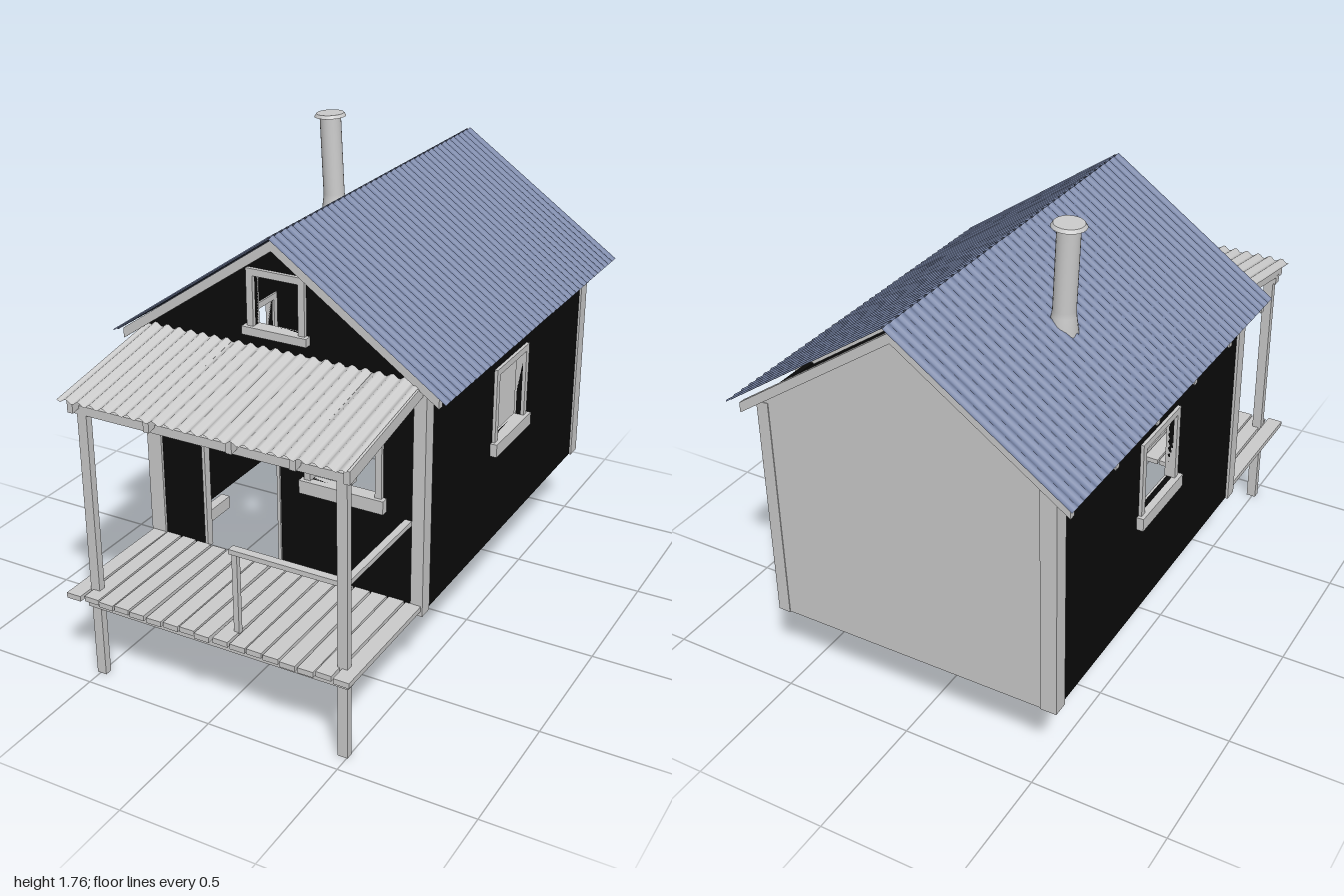
import * as THREE from 'three';

const grey = new THREE.MeshStandardMaterial({ color: 0xcccccc });
const greySheet = new THREE.MeshStandardMaterial({ color: 0xcccccc, side: THREE.DoubleSide });
const black = new THREE.MeshStandardMaterial({ color: 0x0a0a0a });
const blueSheet = new THREE.MeshStandardMaterial({ color: 0x7582a3, side: THREE.DoubleSide });

const CX = -0.013; // house centre line

function mesh(parent, name, geometry, material = grey) {
  const m = new THREE.Mesh(geometry, material);
  m.name = name;
  parent.add(m);
  return m;
}

// Box given by its extents
function box(parent, name, [x0, x1], [y0, y1], [z0, z1], material) {
  const m = mesh(parent, name, new THREE.BoxGeometry(x1 - x0, y1 - y0, z1 - z0), material);
  m.position.set((x0 + x1) / 2, (y0 + y1) / 2, (z0 + z1) / 2);
  return m;
}

const polygon = pts => new THREE.Shape(pts.map(p => new THREE.Vector2(...p)));
const rect = (a, b, c, d) => [[a, c], [b, c], [b, d], [a, d]];

function panel(points, holes, depth) {
  const shape = polygon(points);
  holes.forEach(h => shape.holes.push(polygon(h)));
  return new THREE.ExtrudeGeometry(shape, { depth, bevelEnabled: false });
}

// Corrugated sheet spanned by u (across the waves) and v (along them)
function corrugated(origin, u, v, waves, amp) {
  const g = new THREE.PlaneGeometry(1, 1, waves * 6, 1);
  const n = u.clone().cross(v).normalize();
  const p = g.attributes.position;
  for (let i = 0; i < p.count; i++) {
    const s = p.getX(i) + 0.5, t = p.getY(i) + 0.5;
    const q = origin.clone().addScaledVector(u, s).addScaledVector(v, t)
      .addScaledVector(n, amp * Math.sin(s * waves * Math.PI * 2));
    p.setXYZ(i, q.x, q.y, q.z);
  }
  g.computeVertexNormals();
  return g;
}

// Window frame with sill, built facing +z around the opening
function windowFrame(name, [x0, x1], [y0, y1], sillHeight) {
  const g = new THREE.Group();
  g.name = name;
  const f = 0.025;
  const frame = mesh(g, 'windowFrame',
    panel(rect(x0 - f, x1 + f, y0 - 0.005, y1 + f), [rect(x0, x1, y0, y1)], 0.04));
  frame.position.z = -0.028;
  box(g, 'windowSill', [x0 - f - 0.013, x1 + f + 0.013], [y0 - sillHeight, y0], [-0.028, 0.026]);
  return g;
}

function buildWalls(house) {
  const frontWin = [[0.112, 0.362], [0.72, 0.985]];
  const gableWin = [[-0.102, 0.072], [1.25, 1.43]];
  const sideWin = [[-0.345, -0.105], [0.72, 0.98]];
  const hole = ([a, b]) => rect(...a, ...b);
  const gable = [[0.535, 1.175], [CX, 1.545], [-0.56, 1.175]];

  // Front wall with the doorway as a notch in its lower edge
  const front = [[-0.56, 0.305], [-0.34, 0.305], [-0.34, 1.03], [-0.015, 1.03], [-0.015, 0.305],
    [0.535, 0.305], ...gable];
  mesh(house, 'frontWall', panel(front, [hole(frontWin), hole(gableWin)], 0.02), black).position.z = 0.455;
  mesh(house, 'backWall', panel([[-0.56, 0.305], [0.535, 0.305], ...gable], [], 0.02)).position.z = -0.96;

  const fw = windowFrame('frontWindow', ...frontWin, 0.05);
  const gw = windowFrame('gableWindow', ...gableWin, 0.03);
  fw.position.z = gw.position.z = 0.477;
  house.add(fw, gw);

  // Door frame
  for (const x of [-0.34, -0.027]) box(house, 'doorJamb', [x, x + 0.012], [0.33, 1.03], [0.45, 0.482]);
  box(house, 'doorHead', [-0.34, -0.015], [1.018, 1.03], [0.45, 0.482]);

  // Side walls and windows, turned to face outward
  for (const side of [-1, 1]) {
    const x = side > 0 ? 0.538 : -0.563;
    const g = new THREE.Group();
    g.name = side > 0 ? 'leftSide' : 'rightSide';
    const flip = (a, b) => side > 0 ? [-b, -a] : [a, b];
    const win = [flip(...sideWin[0]), sideWin[1]];
    mesh(g, 'sideWall', panel(rect(...flip(-0.95, 0.465), 0.305, 1.175), [hole(win)], 0.02), black).position.z = -0.02;
    g.add(windowFrame('sideWindow', ...win, 0.05));
    g.rotation.y = side * Math.PI / 2;
    g.position.x = x;
    house.add(g);
  }

  // Corner posts
  for (const xs of [[-0.573, -0.513], [0.5, 0.546]])
    for (const zs of [[0.43, 0.485], [-0.963, -0.905]])
      box(house, 'cornerPost', xs, [0.303, 1.165], zs);
}

function buildRoof(house) {
  const V = (x, y, z) => new THREE.Vector3(x, y, z);
  for (const s of [-1, 1])
    mesh(house, 'roofSheet', corrugated(V(0, 1.594, -1), V(0, 0, 1.55), V(s * 0.643, -0.444, 0), 40, 0.005), blueSheet);

  // Rafter pairs
  const h = 0.615, t = 0.038;
  const chevron = [[CX - h, 1.15 - t], [CX, 1.575 - t], [CX + h, 1.15 - t],
    [CX + h, 1.15], [CX, 1.575], [CX - h, 1.15]];
  for (let i = 0; i < 6; i++)
    mesh(house, 'rafterPair', panel(chevron, [], 0.024)).position.z = -0.982 + i * 0.294;

  // Stove pipe, leaning a little outward, with a flared foot and a cap
  const pipe = new THREE.Group();
  pipe.name = 'chimney';
  const profile = [[0.055, -0.1], [0.053, 0], [0.042, 0.07], [0.04, 0.09], [0.04, 0.385]];
  mesh(pipe, 'chimneyPipe',
    new THREE.LatheGeometry(profile.map(p => new THREE.Vector2(...p)), 24), greySheet);
  mesh(pipe, 'chimneyCap', new THREE.CylinderGeometry(0.052, 0.06, 0.012, 24)).position.y = 0.391;
  pipe.position.set(-0.278, 1.36, -0.388);
  pipe.rotation.z = 0.05;
  house.add(pipe);
}

function buildPorch(porch) {
  // Posts, legs and floor beams
  for (const x of [-0.513, 0.466]) {
    box(porch, 'porchLeg', [x, x + 0.037], [0, 0.28], [0.908, 0.936]);
    box(porch, 'porchPost', [x, x + 0.037], [0.32, 1.03], [0.908, 0.936]);
    box(porch, 'sideBeam', [x, x + 0.037], [0.275, 0.325], [0.11, 0.91]);
  }
  box(porch, 'frontBeam', [-0.525, 0.508], [0.275, 0.325], [0.905, 0.94]);

  // Uneven deck boards
  let seed = 7;
  const rnd = () => (seed = (seed * 16807) % 2147483647) / 2147483647 - 0.5;
  rnd();
  const pitch = 1.118 / 17;
  for (let i = 0; i < 17; i++) {
    const x = -0.573 + i * pitch, end = 0.99 + rnd() * 0.02;
    const b = box(porch, 'deckBoard', [x + 0.004, x + pitch - 0.004], [0.326, 0.346], [0.485, end]);
    b.rotation.set(rnd() * 0.02, rnd() * 0.012, rnd() * 0.04);
    b.position.y += rnd() * 0.006;
  }

  // Railing on the left half
  box(porch, 'railPost', [0.065, 0.085], [0.34, 0.648], [0.9, 0.92]);
  box(porch, 'frontRail', [0.06, 0.47], [0.645, 0.663], [0.9, 0.93]);
  box(porch, 'sideRail', [0.472, 0.498], [0.645, 0.663], [0.48, 0.91]);

  // Header, rafters and corrugated canopy
  box(porch, 'porchHeader', [-0.525, 0.52], [1.02, 1.052], [0.906, 0.938]);
  const rafter = [[0.475, 1.13], [0.97, 1.036], [0.97, 1.082], [0.475, 1.172]];
  for (const x of [-0.513, -0.21, 0.102, 0.332, 0.52]) {
    const m = mesh(porch, 'porchRafter', panel(rafter.map(([z, y]) => [-z, y]).reverse(), [], 0.022));
    m.rotation.y = Math.PI / 2;
    m.position.x = x - 0.011;
  }
  const V = (x, y, z) => new THREE.Vector3(x, y, z);
  mesh(porch, 'porchRoof',
    corrugated(V(-0.548, 1.176, 0.475), V(1.075, 0, 0), V(0, -0.09, 0.515), 22, 0.007), greySheet);
}

export function createModel() {
  const model = new THREE.Group();
  model.name = 'cabin';
  const house = new THREE.Group(), porch = new THREE.Group();
  house.name = 'house';
  porch.name = 'porch';
  model.add(house, porch);
  buildWalls(house);
  buildRoof(house);
  buildPorch(porch);
  return model;
}
